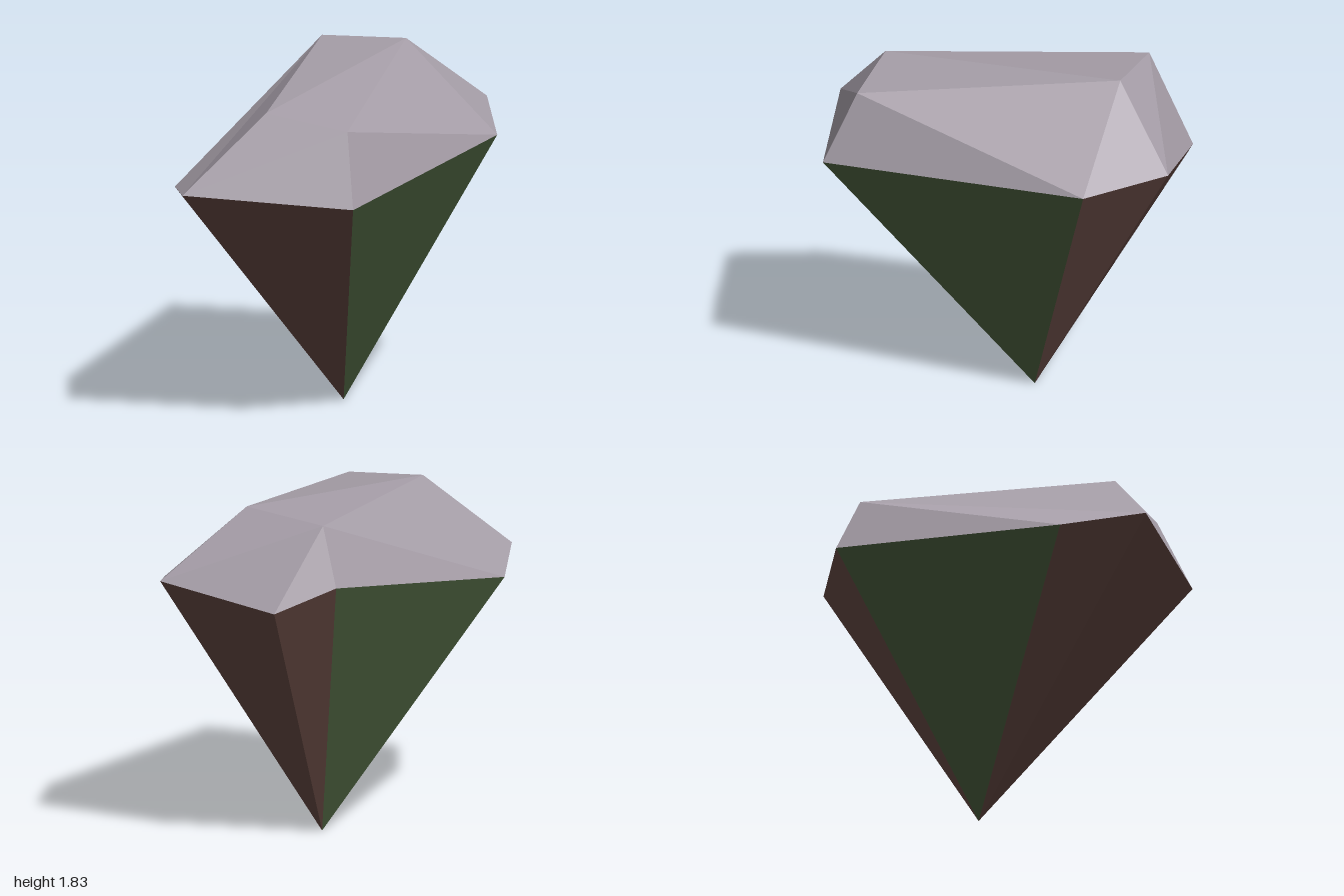
import * as THREE from 'three';

const stone = new THREE.MeshStandardMaterial({ color: 0xa79fa9 });
stone.name = 'paleStone';
const earth = new THREE.MeshStandardMaterial({ color: 0x674a44 });
earth.name = 'brownEarth';
const moss = new THREE.MeshStandardMaterial({ color: 0x4a5e3d });
moss.name = 'mossGreen';

// Key points: lower tip, girdle ring a-g (counterclockwise from above), upper corners p-s
const points = {
  tip: [-0.02, 0, -0.16],
  a: [-0.48, 1.34, 1.0],
  b: [0.41, 1.31, 0.86],
  c: [0.665, 1.37, -0.6],
  d: [0.46, 1.46, -1.0],
  e: [-0.2, 1.36, -0.96],
  f: [-0.46, 1.49, -0.77],
  g: [-0.67, 1.27, 0.6],
  p: [-0.14, 1.73, 0.67],
  q: [0.32, 1.68, 0.7],
  r: [0.14, 1.825, -0.66],
  s: [-0.335, 1.79, -0.69],
};

// Flat facets from triples of point names
function facets(name, triples, material) {
  const geometry = new THREE.BufferGeometry();
  const xyz = triples.flat().flatMap((key) => points[key]);
  geometry.setAttribute('position', new THREE.Float32BufferAttribute(xyz, 3));
  geometry.computeVertexNormals();
  const mesh = new THREE.Mesh(geometry, material);
  mesh.name = name;
  return mesh;
}

export function createModel() {
  const rock = new THREE.Group();
  rock.name = 'floatingRock';

  // Faceted stone cap
  const cap = ['pqr', 'prs', 'abq', 'aqp', 'bcq', 'qcr', 'cdr', 'rds', 'des', 'efs', 'fgs', 'gas', 'aps'];
  rock.add(facets('stoneCap', cap.map((t) => [...t]), stone));

  // Tapering underside: one facet per girdle edge, mossy on the two long sides
  const ring = [...'abcdefg'];
  const earthy = [];
  const mossy = [];
  ring.forEach((key, i) => {
    const next = ring[(i + 1) % ring.length];
    (key === 'b' || key === 'f' ? mossy : earthy).push(['tip', next, key]);
  });
  rock.add(facets('earthUnderside', earthy, earth));
  rock.add(facets('mossySides', mossy, moss));

  return rock;
}
